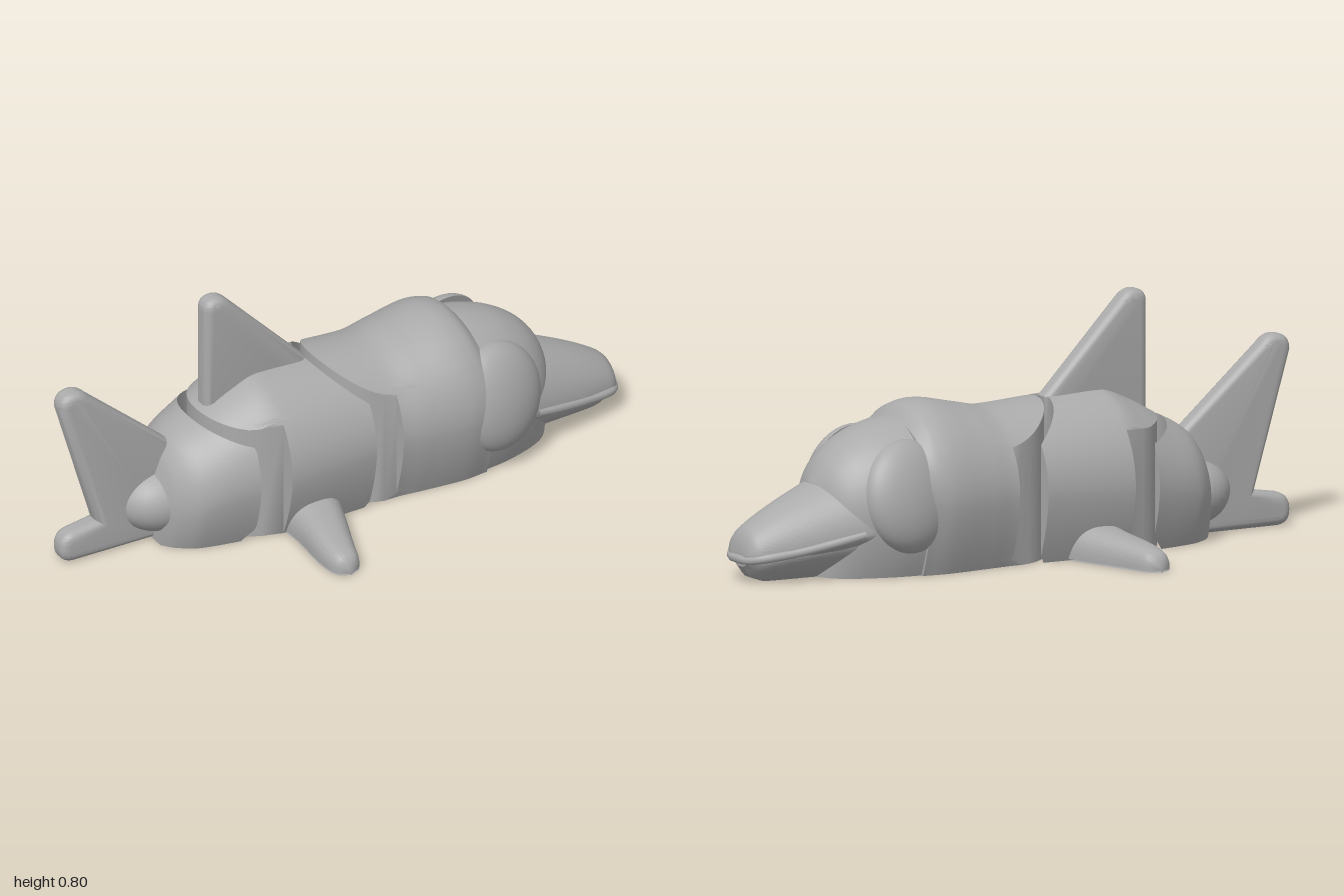
import * as THREE from 'three';
import { mergeGeometries, toCreasedNormals } from 'three/addons/utils/BufferGeometryUtils.js';

const skin = new THREE.MeshStandardMaterial({ color: 0xaaaaaa, side: THREE.DoubleSide });
skin.name = 'grey';

// Smooth 1D curve through [x, value] pairs, with tangents limited at peaks
function curve(pts) {
  const slope = (i) => (pts[i + 1][1] - pts[i][1]) / (pts[i + 1][0] - pts[i][0]);
  const n = pts.length;
  const tangent = (i) => {
    if (i === 0) return slope(0);
    if (i === n - 1) return slope(n - 2);
    const a = slope(i - 1), b = slope(i);
    return a * b <= 0 ? 0 : (2 * a * b) / (a + b);
  };
  return (x) => {
    if (x <= pts[0][0]) return pts[0][1];
    if (x >= pts[n - 1][0]) return pts[n - 1][1];
    let i = 0;
    while (x > pts[i + 1][0]) i++;
    const h = pts[i + 1][0] - pts[i][0], t = (x - pts[i][0]) / h;
    const t2 = t * t, t3 = t2 * t;
    return (2 * t3 - 3 * t2 + 1) * pts[i][1] + (t3 - 2 * t2 + t) * h * tangent(i)
      + (3 * t2 - 2 * t3) * pts[i + 1][1] + (t3 - t2) * h * tangent(i + 1);
  };
}

const bare = (g) => {
  const out = g.index ? g.toNonIndexed() : g;
  out.deleteAttribute('uv');
  out.deleteAttribute('normal');
  return out;
};
const fixed = (v) => () => v;

// Rings cut into the underside around a joint centre
const GROOVES = [[0.155, 0.13, 0.09], [0.07, 0.05, 0.05]];
function socketFloor(outline, c) {
  const circle = (r) => new THREE.Path().absarc(c, 0, r, 0, Math.PI * 2);
  const disc = (r) => new THREE.Shape().absarc(c, 0, r, 0, Math.PI * 2);
  const shapes = [new THREE.Shape(outline), disc(GROOVES[0][1]), disc(GROOVES[1][1])];
  GROOVES.forEach(([outer], i) => shapes[i].holes.push(circle(outer)));
  const floor = new THREE.ShapeGeometry(shapes, 32).rotateX(Math.PI / 2);
  const walls = GROOVES.map(([a, b, d]) => new THREE.LatheGeometry(
    [[a, 0], [a, d], [b, d], [b, 0]].map((p) => new THREE.Vector2(...p)), 48).translate(c, 0, 0));
  return [floor, ...walls].map(bare);
}

// Solid along x: domed top, flat belly with turned-up sides, ends shaped by x0(z) and x1(z)
function solid({ x0, x1, width, top, waist, flat = 0.78, power = 2, mid = fixed(0), base = fixed(0), socket }, steps = 28) {
  const us = [-flat, flat];
  for (let j = 0; j <= 56; j++) us.push(-Math.cos((j / 56) * Math.PI));
  us.sort((a, b) => a - b);
  const grid = [];
  for (let i = 0; i <= steps; i++) {
    grid.push(us.map((u) => {
      const s = i / steps;
      let x = (x0(0) + x1(0)) / 2;
      for (let k = 0; k < 12; k++) {
        const z = width(x) * u;
        x = x0(z) + (x1(z) - x0(z)) * s;
      }
      const a = Math.min(1, Math.abs(u)), w = waist(x), b = base(x);
      const v = flat < 1 ? Math.max(0, (a - flat) / (1 - flat)) : 0;
      const z = width(x) * u + mid(x);
      return {
        hi: [x, w + (top(x) - w) * Math.pow(1 - Math.pow(a, power), 1 / power), z],
        lo: [x, b + (w - b) * (1 - Math.pow(1 - v, 0.6)), z],
      };
    }));
  }
  const pos = [];
  const quad = (a, b, c, d) => pos.push(...a, ...b, ...c, ...a, ...c, ...d);
  const last = us.length - 1;
  for (let j = 0; j < last; j++) {
    for (let i = 0; i < steps; i++) {
      const a = grid[i][j], b = grid[i][j + 1], c = grid[i + 1][j + 1], d = grid[i + 1][j];
      quad(a.hi, b.hi, c.hi, d.hi);
      const inner = us[j] >= -flat && us[j + 1] <= flat;
      if (socket === undefined || !inner) quad(a.lo, d.lo, c.lo, b.lo);
    }
    const s = grid[0], e = grid[steps];
    quad(s[j].lo, s[j + 1].lo, s[j + 1].hi, s[j].hi);
    quad(e[j].lo, e[j].hi, e[j + 1].hi, e[j + 1].lo);
  }
  const g = new THREE.BufferGeometry();
  g.setAttribute('position', new THREE.Float32BufferAttribute(pos, 3));
  const parts = [g];
  if (socket !== undefined) {
    const a = us.indexOf(-flat), b = us.lastIndexOf(flat);
    const p = (i, j) => new THREE.Vector2(grid[i][j].lo[0], grid[i][j].lo[2]);
    const outline = [];
    for (let j = a; j < b; j++) outline.push(p(0, j));
    for (let i = 0; i < steps; i++) outline.push(p(i, b));
    for (let j = b; j > a; j--) outline.push(p(steps, j));
    for (let i = steps; i > 0; i--) outline.push(p(i, a));
    parts.push(...socketFloor(outline, socket));
  }
  return toCreasedNormals(mergeGeometries(parts), 0.6);
}

// Upright fin with rounded edges
function fin(shape) {
  const g = new THREE.ExtrudeGeometry(shape, {
    depth: 0.02, bevelThickness: 0.028, bevelSize: 0.03, bevelOffset: -0.03, bevelSegments: 6, curveSegments: 10,
  }).translate(0, 0, -0.01);
  return toCreasedNormals(bare(g), 0.6);
}

export function createModel() {
  const group = new THREE.Group();
  const add = (name, geometry) => {
    const mesh = new THREE.Mesh(geometry, skin);
    mesh.name = name;
    group.add(mesh);
    return mesh;
  };

  // Joint ends: a rounded nose on one segment sits in a hollow in the next
  const FRONT = 0.11, REAR = -0.3;
  const nose = (c) => (z) => c - Math.sqrt(Math.max(0, 0.04 - z * z));
  const hollow = (c) => (z) => Math.min(c - 0.1, c - Math.sqrt(Math.max(0, 0.0529 - z * z)));

  // Body segments share one outline
  const width = curve([[-0.67, 0.1], [-0.64, 0.145], [-0.57, 0.2], [-0.4, 0.243], [-0.3, 0.265],
    [0, 0.256], [0.11, 0.25], [0.2, 0.26], [0.35, 0.273], [0.43, 0.262]]);
  const top = curve([[-0.67, 0.24], [-0.64, 0.31], [-0.6, 0.355], [-0.5, 0.41], [-0.4, 0.465], [-0.3, 0.5],
    [-0.1, 0.492], [0.1, 0.482], [0.2, 0.5], [0.34, 0.525], [0.4, 0.512], [0.435, 0.475]]);
  const waist = curve([[-0.67, 0.13], [-0.5, 0.19], [-0.3, 0.22], [0.4, 0.24]]);
  const body = { width, top, waist };
  add('tailSegment', solid({ ...body, x0: fixed(-0.67), x1: hollow(REAR) }));
  add('middleSegment', solid({ ...body, x0: nose(REAR), x1: hollow(FRONT), socket: REAR }));
  add('headSegment', solid({ ...body, x0: nose(FRONT), x1: fixed(0.435), socket: FRONT }));
  for (const c of [REAR, FRONT]) {
    add('jointLink', new THREE.BoxGeometry(0.15, 0.2, 0.1).translate(c - 0.185, 0.1, 0));
  }

  // Forehead
  add('forehead', solid({
    x0: fixed(0.4), x1: fixed(0.735),
    width: curve([[0.4, 0.252], [0.5, 0.235], [0.6, 0.2], [0.67, 0.158], [0.715, 0.1], [0.735, 0.03]]),
    top: curve([[0.4, 0.484], [0.46, 0.477], [0.55, 0.455], [0.63, 0.415], [0.69, 0.36], [0.735, 0.28]]),
    waist: fixed(0.2),
  }));

  // Snout, lower jaw and lip line
  add('snout', solid({
    x0: fixed(0.58), x1: fixed(0.988),
    width: curve([[0.58, 0.2], [0.65, 0.183], [0.93, 0.105], [0.97, 0.085], [0.988, 0.05]]),
    top: curve([[0.58, 0.35], [0.73, 0.29], [0.94, 0.185], [0.975, 0.155], [0.988, 0.11]]),
    waist: curve([[0.58, 0.15], [0.8, 0.11], [0.988, 0.085]]),
    base: curve([[0.58, 0.1], [0.8, 0.08], [0.988, 0.07]]),
  }));
  add('lowerJaw', solid({
    x0: fixed(0.58), x1: fixed(0.978),
    width: curve([[0.58, 0.19], [0.7, 0.15], [0.92, 0.095], [0.978, 0.05]]),
    top: curve([[0.58, 0.14], [0.8, 0.1], [0.978, 0.075]]),
    waist: curve([[0.58, 0.13], [0.8, 0.095], [0.978, 0.07]]),
    base: curve([[0.58, 0], [0.9, 0], [0.95, 0.015], [0.978, 0.05]]),
    flat: 0.3,
  }));
  const side = [[0.63, 0.145, 0.182], [0.72, 0.125, 0.163], [0.84, 0.1, 0.13], [0.95, 0.083, 0.093], [0.98, 0.075, 0.05]];
  const lip = [...side, [0.986, 0.075, 0], ...side.map(([x, y, z]) => [x, y, -z]).reverse()];
  add('lip', new THREE.TubeGeometry(
    new THREE.CatmullRomCurve3(lip.map((p) => new THREE.Vector3(...p))), 60, 0.014, 8));

  for (const s of [1, -1]) {
    // Domed eye patch, tilted upwards
    const dome = new THREE.SphereGeometry(1, 40, 16, 0, Math.PI * 2, 0, Math.PI / 2);
    const back = new THREE.CircleGeometry(1, 40).rotateX(Math.PI / 2);
    const patch = toCreasedNormals(mergeGeometries([bare(dome), bare(back)]), 0.6);
    patch.scale(0.165, 0.085, 0.18).rotateX(Math.PI / 2);
    const eye = add(s > 0 ? 'leftEyePatch' : 'rightEyePatch', patch);
    eye.position.set(0.48, 0.255, s * 0.185);
    eye.rotation.set(s > 0 ? -0.2 : Math.PI + 0.2, s * 0.16, 0);

    // Side flipper, flat underneath
    const flipper = solid({
      x0: fixed(0.18), x1: fixed(0.53),
      width: curve([[0.18, 0.105], [0.27, 0.088], [0.48, 0.052], [0.51, 0.04], [0.525, 0.02], [0.53, 0.004]]),
      top: curve([[0.18, 0.115], [0.26, 0.103], [0.48, 0.067], [0.51, 0.055], [0.525, 0.035], [0.53, 0.015]]),
      mid: curve([[0.18, s * 0.187], [0.27, s * 0.2], [0.48, s * 0.238], [0.53, s * 0.24]]),
      waist: fixed(0.005), flat: 1, power: 2.6,
    });
    add(s > 0 ? 'leftFlipper' : 'rightFlipper', flipper.rotateY(-s * Math.PI / 2));
  }

  // Back fin
  const dorsal = new THREE.Shape().moveTo(-0.48, 0.38).lineTo(-0.48, 0.76);
  dorsal.quadraticCurveTo(-0.48, 0.803, -0.435, 0.803).quadraticCurveTo(-0.41, 0.803, -0.385, 0.775);
  dorsal.lineTo(-0.11, 0.49).lineTo(-0.12, 0.38);
  add('backFin', fin(dorsal));

  // Tail root and two-lobed tail fin
  const root = new THREE.SphereGeometry(1, 32, 20);
  add('tailRoot', root.scale(0.15, 0.112, 0.122).translate(-0.63, 0.135, 0));
  const tail = new THREE.Shape().moveTo(-0.87, 0.12).lineTo(-1, 0.56);
  tail.quadraticCurveTo(-1, 0.612, -0.945, 0.612).quadraticCurveTo(-0.92, 0.612, -0.895, 0.585);
  tail.lineTo(-0.6, 0.33).lineTo(-0.6, 0).lineTo(-0.95, 0);
  tail.quadraticCurveTo(-1, 0, -1, 0.05).quadraticCurveTo(-1, 0.1, -0.95, 0.107);
  add('tailFin', fin(tail));

  return group;
}
